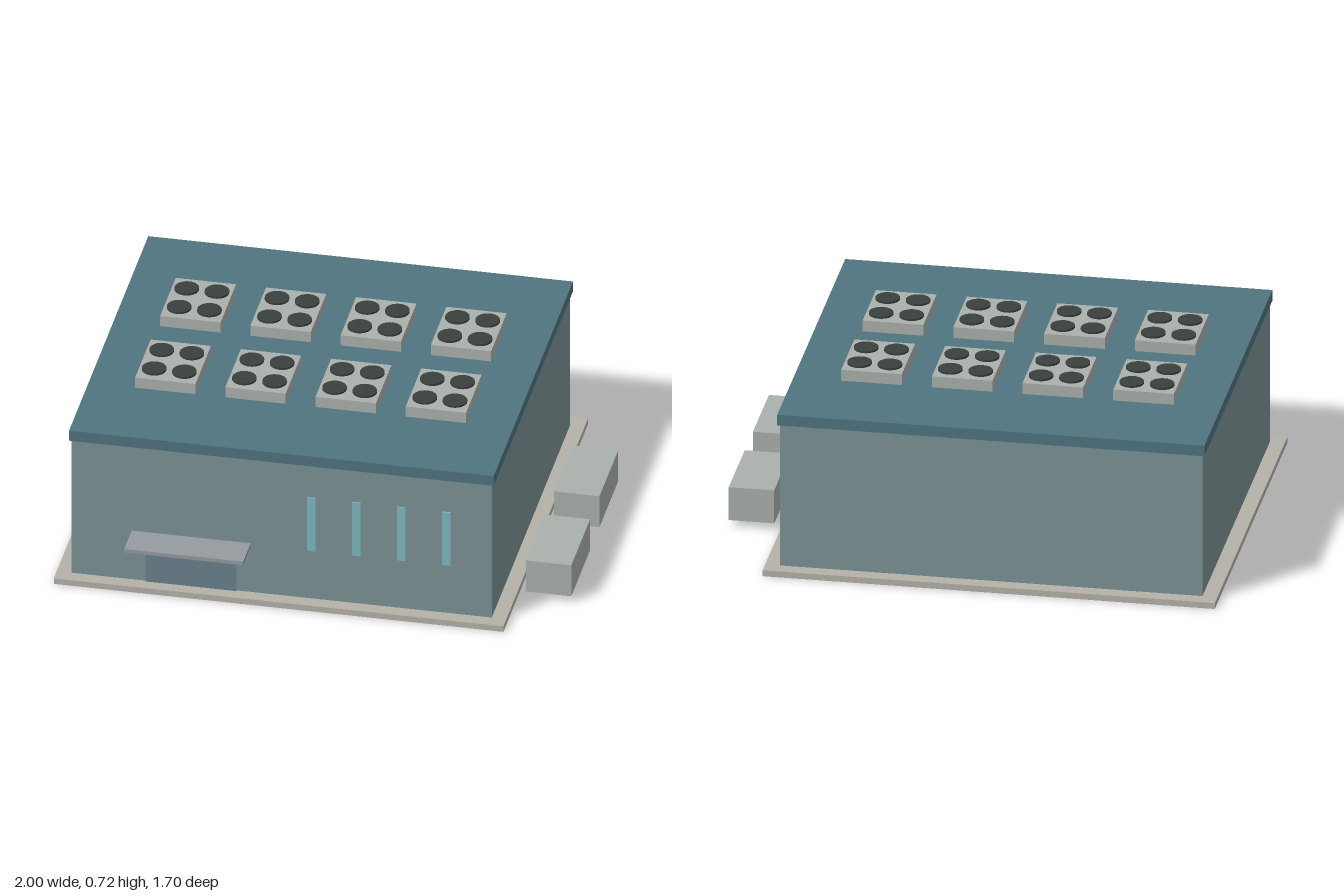
import * as THREE from 'three';

const mat = (color) => new THREE.MeshStandardMaterial({ color });

export function createModel() {
  const model = new THREE.Group();
  const concrete = mat(0xb4b2a8), wall = mat(0x7c9294), roofing = mat(0x4f7480);
  const metal = mat(0xaab0ac), fanDark = mat(0x3a403e), doorBlue = mat(0x6a818c);
  const canopyGrey = mat(0x949b9f), glass = mat(0x7ab8c0);

  // Box given by its limits on each axis
  const box = (name, [x0, x1], [y0, y1], [z0, z1], material, parent = model) => {
    const mesh = new THREE.Mesh(new THREE.BoxGeometry(x1 - x0, y1 - y0, z1 - z0), material);
    mesh.position.set((x0 + x1) / 2, (y0 + y1) / 2, (z0 + z1) / 2);
    mesh.name = name;
    parent.add(mesh);
    return mesh;
  };

  // Building shell
  box('foundationSlab', [-1, 0.787], [0, 0.025], [-0.85, 0.76], concrete);
  box('walls', [-0.941, 0.729], [0.025, 0.625], [-0.792, 0.704], wall);
  box('roof', [-0.95, 0.738], [0.625, 0.67], [-0.801, 0.709], roofing);

  // Entrance
  box('entranceDoor', [-0.645, -0.285], [0.025, 0.219], [0.69, 0.71], doorBlue);
  box('entranceCanopy', [-0.702, -0.229], [0.229, 0.245], [0.7, 0.847], canopyGrey);

  // Narrow front windows
  for (let i = 0; i < 4; i++) {
    const x = 0.012 + i * 0.179;
    box('window', [x - 0.017, x + 0.017], [0.242, 0.482], [0.69, 0.71], glass);
  }

  // Rooftop cooling units, each with four fans
  const fanGeometry = new THREE.CylinderGeometry(0.048, 0.048, 0.012, 24);
  for (const z of [-0.289, 0.189]) {
    for (let i = 0; i < 4; i++) {
      const unit = new THREE.Group();
      unit.name = 'coolingUnit';
      unit.position.set(-0.645 + i * 0.3585, 0.67, z);
      box('coolingCabinet', [-0.12, 0.12], [0, 0.046], [-0.148, 0.148], metal, unit);
      for (const fx of [-0.06, 0.06]) {
        for (const fz of [-0.072, 0.072]) {
          const fan = new THREE.Mesh(fanGeometry, fanDark);
          fan.name = 'fan';
          fan.position.set(fx, 0.048, fz);
          unit.add(fan);
        }
      }
      model.add(unit);
    }
  }

  // Generators beside the left wall
  for (const z of [-0.228, 0.308]) {
    box('generator', [0.82, 1], [0.028, 0.168], [z - 0.179, z + 0.179], metal);
  }

  return model;
}
